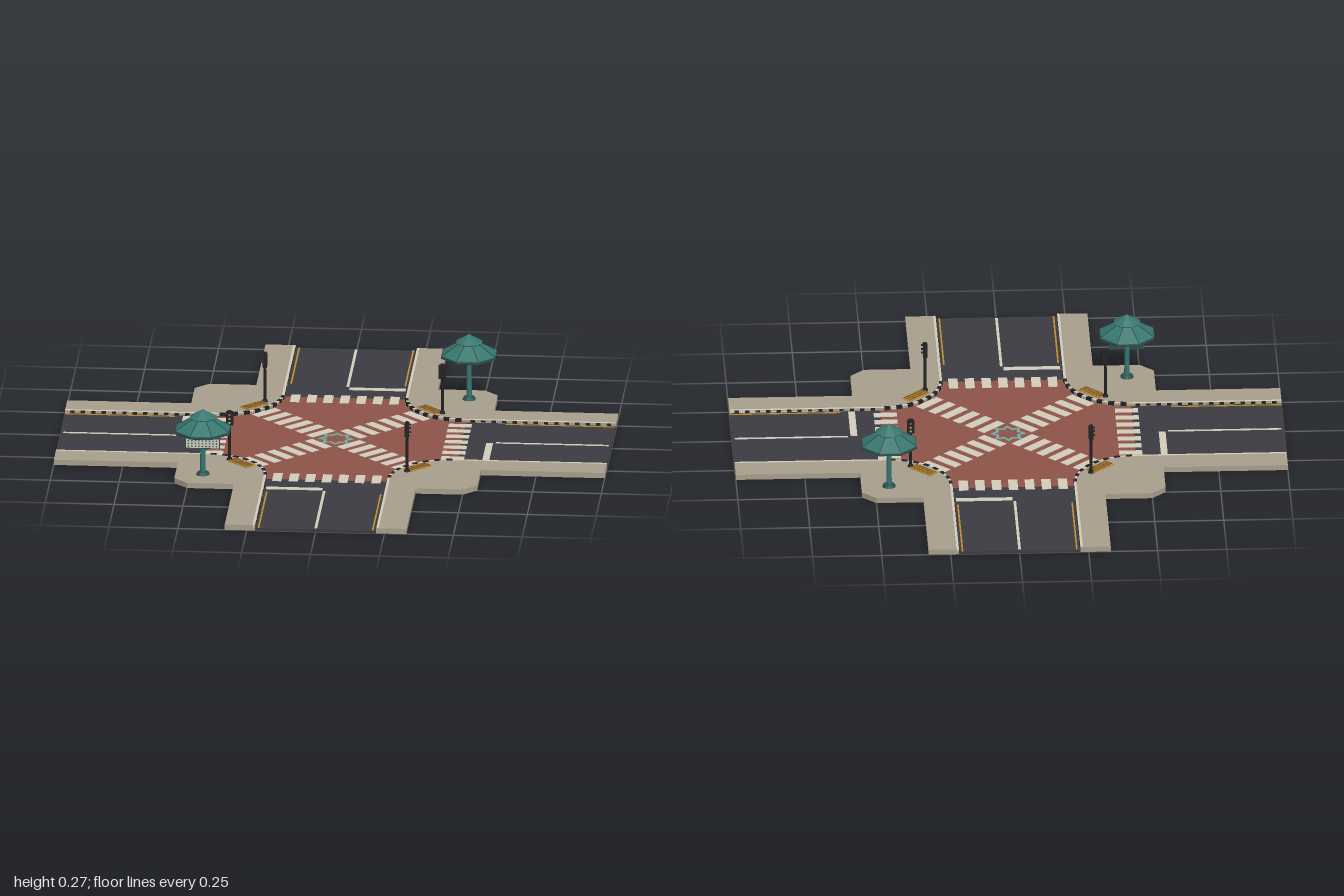
import * as THREE from 'three';

const mat = (name, color) => new THREE.MeshStandardMaterial({ name, color });

// Road levels and layout
const ROAD = 0.01, WALK = 0.02, HALF = 0.22, BEND = 0.45, R = BEND - HALF;

export function createModel() {
  const M = {
    asphalt: mat('asphalt', 0x3c3b41),
    paving: mat('paving', 0xa89f8c),
    paint: mat('cream paint', 0xd3cdbd),
    brick: mat('brick red', 0x8e544a),
    teal: mat('teal', 0x37766f),
    darkTeal: mat('dark teal', 0x2b504c),
    mint: mat('pale teal', 0x74b0a4),
    black: mat('black', 0x222226),
    gold: mat('gold', 0xc08c2c),
    bronze: mat('bronze', 0x80592a),
  };
  const model = new THREE.Group();
  model.name = 'intersection';

  const add = (parent, name, geo, material, x = 0, y = 0, z = 0, ry = 0) => {
    const mesh = new THREE.Mesh(geo, material);
    mesh.name = name;
    mesh.position.set(x, y, z);
    mesh.rotation.y = ry;
    parent.add(mesh);
    return mesh;
  };
  const box = (w, h, d) => new THREE.BoxGeometry(w, h, d);
  const flat = (geo) => {
    const g = geo.toNonIndexed();
    g.computeVertexNormals();
    return g;
  };
  // Plan outline given as [x, z], raised between two heights
  const slab = (shape, y0, y1) => new THREE.ExtrudeGeometry(shape, { depth: y1 - y0, bevelEnabled: false })
    .rotateX(Math.PI / 2).translate(0, y1, 0);
  const toShape = (pts) => new THREE.Shape(pts.map(([x, z]) => new THREE.Vector2(x, z)));
  // Rounded street corner from the +z arm to the +x arm
  const bend = (radius = R, n = 14) => Array.from({ length: n + 1 }, (_, i) => {
    const a = Math.PI + (i / n) * Math.PI / 2;
    return [BEND + radius * Math.cos(a), BEND + radius * Math.sin(a)];
  });
  const turn = ([x, z], k) => {
    for (let i = 0; i < k; i++) [x, z] = [-z, x];
    return [x, z];
  };
  // Cross with rounded inner corners
  const cross = (arm) => {
    const corner = [[HALF, arm], ...bend(), [arm, HALF]];
    const pts = [];
    for (let k = 4; k > 0; k--) pts.push(...corner.map((p) => turn(p, k % 4)));
    return toShape(pts);
  };

  add(model, 'road', slab(cross(1), 0, ROAD), M.asphalt);
  add(model, 'brickCrossing', slab(cross(0.456), ROAD, ROAD + 0.001), M.brick);

  // Eight-pointed star outline in the middle
  const starPoints = (s) => Array.from({ length: 16 }, (_, i) => {
    const r = (i % 2 ? 0.045 : 0.066) * s, a = (i * Math.PI) / 8;
    return [r * Math.cos(a), r * Math.sin(a)];
  });
  const star = toShape(starPoints(1));
  star.holes.push(toShape(starPoints(0.76)));
  add(model, 'centreStar', slab(star, ROAD, ROAD + 0.003), M.mint);

  const sidewalk = toShape([[HALF, 1], ...bend(), [1, HALF], [1, 0.33], [0.55, 0.33],
    [0.55, 0.5], [0.5, 0.55], [0.33, 0.55], [0.33, 1]]);
  const kerb = toShape([[HALF, 1], ...bend(), [1, HALF], [1, HALF + 0.009],
    ...bend(R - 0.009).reverse(), [HALF + 0.009, 1]]);

  for (let k = 0; k < 4; k++) {
    const quarter = new THREE.Group();
    quarter.name = 'quarter' + (k + 1);
    quarter.rotation.y = -k * Math.PI / 2;
    model.add(quarter);

    // Sidewalk and painted kerb
    add(quarter, 'sidewalk', slab(sidewalk, 0, WALK), M.paving);
    add(quarter, 'kerb', slab(kerb, ROAD, WALK + 0.001), M.paint);
    for (let i = 0; i < 8; i++) {
      const a = Math.PI + ((i + 0.5) / 8) * Math.PI / 2, r = R - 0.0045;
      add(quarter, 'kerbBlock', box(0.012, 0.012, 0.022), M.black,
        BEND + r * Math.cos(a), 0.0165, BEND + r * Math.sin(a), -a);
    }
    for (let i = 0; i < 14; i++) {
      const t = 0.48 + i * 0.038;
      add(quarter, 'kerbStripe', box(0.002, 0.009, 0.016), M.black, HALF, 0.0155, t);
      add(quarter, 'kerbStripe', box(0.016, 0.009, 0.002), M.black, t, 0.0155, HALF);
    }

    // Lane markings on one arm
    const mark = (name, w, d, x, z, m = M.paint) => add(quarter, name, box(w, 0.002, d), m, x, ROAD + 0.001, z);
    mark('stopLine', 0.205, 0.025, -0.11, 0.558);
    mark('centreLine', 0.01, 0.41, 0, 0.785);
    for (const s of [-1, 1]) mark('edgeLine', 0.006, 0.4, s * 0.207, 0.8, M.gold);
    for (let i = -3; i <= 3; i++) mark('crosswalkStripe', 0.034, 0.084, i * 0.06, 0.437);

    // Diagonal crosswalk
    for (let i = 0; i < 6; i++) {
      const d = (0.085 + i * 0.06) * Math.SQRT1_2;
      add(quarter, 'diagonalStripe', box(0.11, 0.003, 0.035), M.paint, d, ROAD + 0.001, d, Math.PI / 4);
    }

    // Tactile paving with raised studs
    const tactile = new THREE.Group();
    tactile.name = 'tactilePaving';
    tactile.position.set(0.32, WALK, 0.32);
    tactile.rotation.y = Math.PI / 4;
    quarter.add(tactile);
    add(tactile, 'tactilePlate', box(0.104, 0.004, 0.042), M.gold, 0, 0.001, 0);
    for (let i = 0; i < 8; i++) for (let j = 0; j < 3; j++) {
      add(tactile, 'stud', box(0.007, 0.003, 0.007), M.bronze, (i - 3.5) * 0.0125, 0.004, (j - 1) * 0.0125);
    }

    // Traffic signal facing oncoming traffic
    const signal = new THREE.Group();
    signal.name = 'trafficSignal';
    signal.position.set(0.285, WALK, 0.365);
    quarter.add(signal);
    add(signal, 'signalBase', new THREE.CylinderGeometry(0.009, 0.011, 0.008, 8), M.black, 0, 0.004, 0);
    add(signal, 'signalPole', new THREE.CylinderGeometry(0.0045, 0.0055, 0.18, 8), M.black, 0, 0.09, 0);
    add(signal, 'signalHead', box(0.016, 0.05, 0.026), M.black, 0, 0.16, 0);
    add(signal, 'signalCap', box(0.01, 0.006, 0.014), M.black, 0, 0.187, 0);
    [M.brick, M.gold, M.mint].forEach((m, i) => {
      const y = 0.175 - i * 0.015;
      add(signal, 'lens', new THREE.CylinderGeometry(0.005, 0.005, 0.002, 10).rotateZ(Math.PI / 2), m, 0.0085, y, 0);
      add(signal, 'visor', box(0.007, 0.0015, 0.014), M.black, 0.011, y + 0.006, 0);
    });
  }

  // Two octagonal canopies on opposite corners
  const lathe = (pts) => flat(new THREE.LatheGeometry(pts.map(([r, y]) => new THREE.Vector2(r, y)), 8, Math.PI / 8));
  const canopies = [[-0.45, 0.45], [0.45, -0.45]].map(([x, z]) => {
    const canopy = new THREE.Group();
    canopy.name = 'canopy';
    canopy.position.set(x, 0, z);
    model.add(canopy);
    add(canopy, 'canopyFoot', new THREE.CylinderGeometry(0.02, 0.025, 0.01, 10), M.darkTeal, 0, 0.025, 0);
    add(canopy, 'canopyPole', new THREE.CylinderGeometry(0.0085, 0.0105, 0.19, 10), M.teal, 0, 0.115, 0);
    add(canopy, 'roofRim', lathe([[0, 0.2], [0.1, 0.183], [0.107, 0.186], [0.107, 0.194], [0.104, 0.196]]), M.darkTeal);
    add(canopy, 'lowerRoof', lathe([[0.107, 0.194], [0.038, 0.235], [0, 0.238]]), M.teal);
    add(canopy, 'upperRim', lathe([[0, 0.236], [0.048, 0.236], [0.05, 0.24]]), M.darkTeal);
    add(canopy, 'upperRoof', lathe([[0.051, 0.239], [0.012, 0.262], [0, 0.27]]), M.teal);
    for (let i = 0; i < 8; i++) {
      // Ridge ribs along the roof corners
      const holder = new THREE.Group();
      holder.name = 'roofRib';
      holder.rotation.y = (i + 0.5) * Math.PI / 4;
      canopy.add(holder);
      const rib = add(holder, 'rib', box(0.08, 0.003, 0.003), M.darkTeal, 0.0725, 0.2145, 0);
      rib.rotation.z = -Math.atan2(0.041, 0.069);
    }
    return canopy;
  });

  // Patterned panel hung on the front canopy's pole
  const panel = new THREE.Group();
  panel.name = 'patternPanel';
  panel.position.set(0, 0.144, 0.015);
  canopies[0].add(panel);
  add(panel, 'panelFrame', box(0.126, 0.04, 0.008), M.darkTeal);
  add(panel, 'panelFace', box(0.12, 0.034, 0.002), M.paint, 0, 0, 0.004);
  for (let i = 0; i < 9; i++) for (let j = 0; j < 3; j++) {
    const tile = add(panel, 'panelDiamond', box(0.0055, 0.0055, 0.002), M.teal, (i - 4) * 0.0128, (j - 1) * 0.0105, 0.005);
    tile.rotation.z = Math.PI / 4;
  }

  return model;
}
